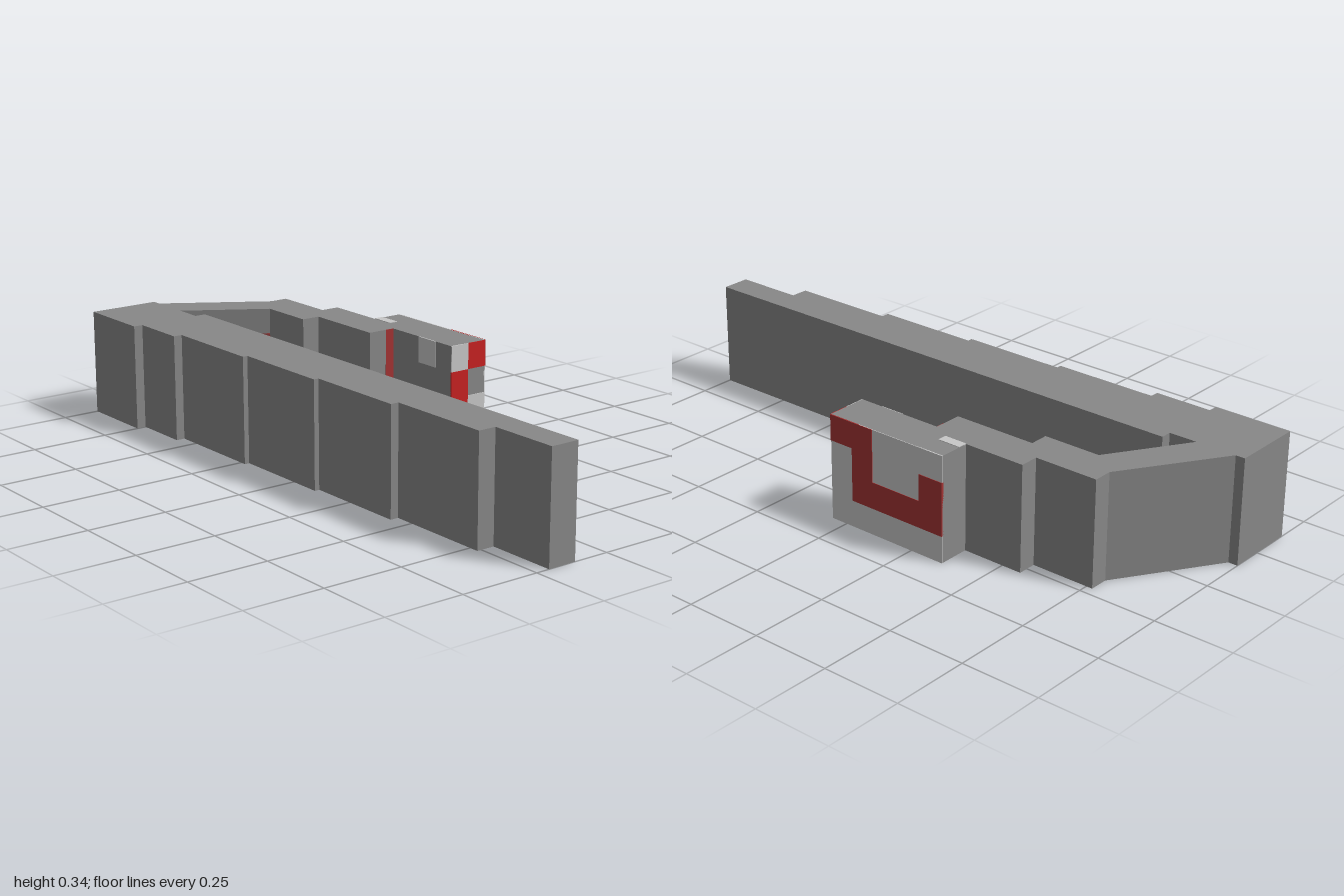
import * as THREE from 'three';

const H = 0.335; // wall height

const mat = (name, color) => {
  const m = new THREE.MeshStandardMaterial({ color });
  m.name = name;
  return m;
};

export function createModel() {
  const gray = mat('gray', 0x888888);
  const light = mat('lightGray', 0xc8c8c8);
  const red = mat('red', 0xc82222);
  const darkRed = mat('darkRed', 0xa33333);
  const dullRed = mat('dullRed', 0x8f3c3c);

  const model = new THREE.Group();
  model.name = 'hookedWall';

  // Body: hooked plan outline (x, z) with stepped long arm and short arm
  const plan = [
    // inner side of long arm and diagonal link
    [-0.207, 1], [-0.115, 1], [-0.115, -0.75], [-0.15, -0.75], [-0.15, -0.84],
    // inner side of short arm
    [0.095, -0.685], [0.095, -0.5], [0.155, -0.5], [0.155, -0.23], [0.247, -0.23],
    [0.247, 0.055], [0.38, 0.055],
    // outer side of short arm and diagonal link
    [0.38, -0.365], [0.28, -0.365], [0.28, -0.565], [0.22, -0.565], [0.22, -0.77],
    [0.16, -0.77], [-0.15, -0.97], [-0.15, -1],
    // outer side of long arm
    [-0.38, -1], [-0.38, -0.75], [-0.35, -0.75], [-0.35, -0.565], [-0.322, -0.565],
    [-0.322, -0.23], [-0.306, -0.23], [-0.306, 0.105], [-0.29, 0.105], [-0.29, 0.44],
    [-0.264, 0.44], [-0.264, 0.78], [-0.207, 0.78],
  ];
  const shape = new THREE.Shape(plan.map(([x, z]) => new THREE.Vector2(x, -z)));
  const bodyGeo = new THREE.ExtrudeGeometry(shape, { depth: H, bevelEnabled: false });
  bodyGeo.rotateX(-Math.PI / 2);
  const body = new THREE.Mesh(bodyGeo, gray);
  body.name = 'body';
  model.add(body);

  // Painted face: thin plates [material, x0, y0, x1, y1, layer] in the face's own plane
  const paint = (name, position, rotation, patches) => {
    const g = new THREE.Group();
    g.name = name;
    g.position.set(...position);
    g.rotation.set(...rotation);
    for (const [m, x0, y0, x1, y1, layer = 1] of patches) {
      const plate = new THREE.Mesh(new THREE.BoxGeometry(x1 - x0, y1 - y0, 0.004 * layer), m);
      plate.position.set((x0 + x1) / 2, (y0 + y1) / 2, 0);
      plate.name = name + 'Patch';
      g.add(plate);
    }
    model.add(g);
  };

  const r1 = 0.085, r2 = 0.169, r3 = 0.253; // pattern rows

  // End of the short arm
  paint('armEnd', [0.247, 0, 0.055], [0, 0, 0], [
    [red, 0, 0, 0.066, r3],
    [light, 0, r3, 0.066, H],
    [red, 0.066, r3, 0.133, H],
    [light, 0.066, r1, 0.133, r2],
  ]);

  // Outer side of the short arm: light with a winding red band
  paint('armOuterSide', [0.38, 0, 0.055], [0, Math.PI / 2, 0], [
    [light, 0, 0, 0.42, H],
    [darkRed, 0, r3, 0.16, H, 2],
    [darkRed, 0.082, r1, 0.16, r3, 2],
    [darkRed, 0.16, r1, 0.42, r2, 2],
    [darkRed, 0.335, r2, 0.42, r3, 2],
  ]);

  // Inner side of the short arm
  paint('armInnerSide', [0.247, 0, -0.23], [0, -Math.PI / 2, 0], [
    [light, 0.13, r3, 0.21, H],
    [red, 0.13, r1, 0.285, r2],
    [red, 0.21, 0, 0.285, r1],
    [light, 0.13, 0, 0.21, r1],
  ]);

  // Step behind the short arm
  paint('stepFace', [0.155, 0, -0.23], [0, 0, 0], [[darkRed, 0.063, r2, 0.092, H]]);

  // Inner face of the diagonal link
  paint('linkInnerSide', [-0.15, 0, -0.84], [0, -Math.atan2(0.155, 0.245), 0], [
    [dullRed, 0, r2, 0.29, r3],
    [dullRed, 0.206, r1, 0.29, r2],
  ]);

  // Small light corner on top
  paint('topCorner', [0.28, H, -0.29], [-Math.PI / 2, 0, 0], [[light, 0, 0, 0.03, 0.075]]);

  return model;
}
